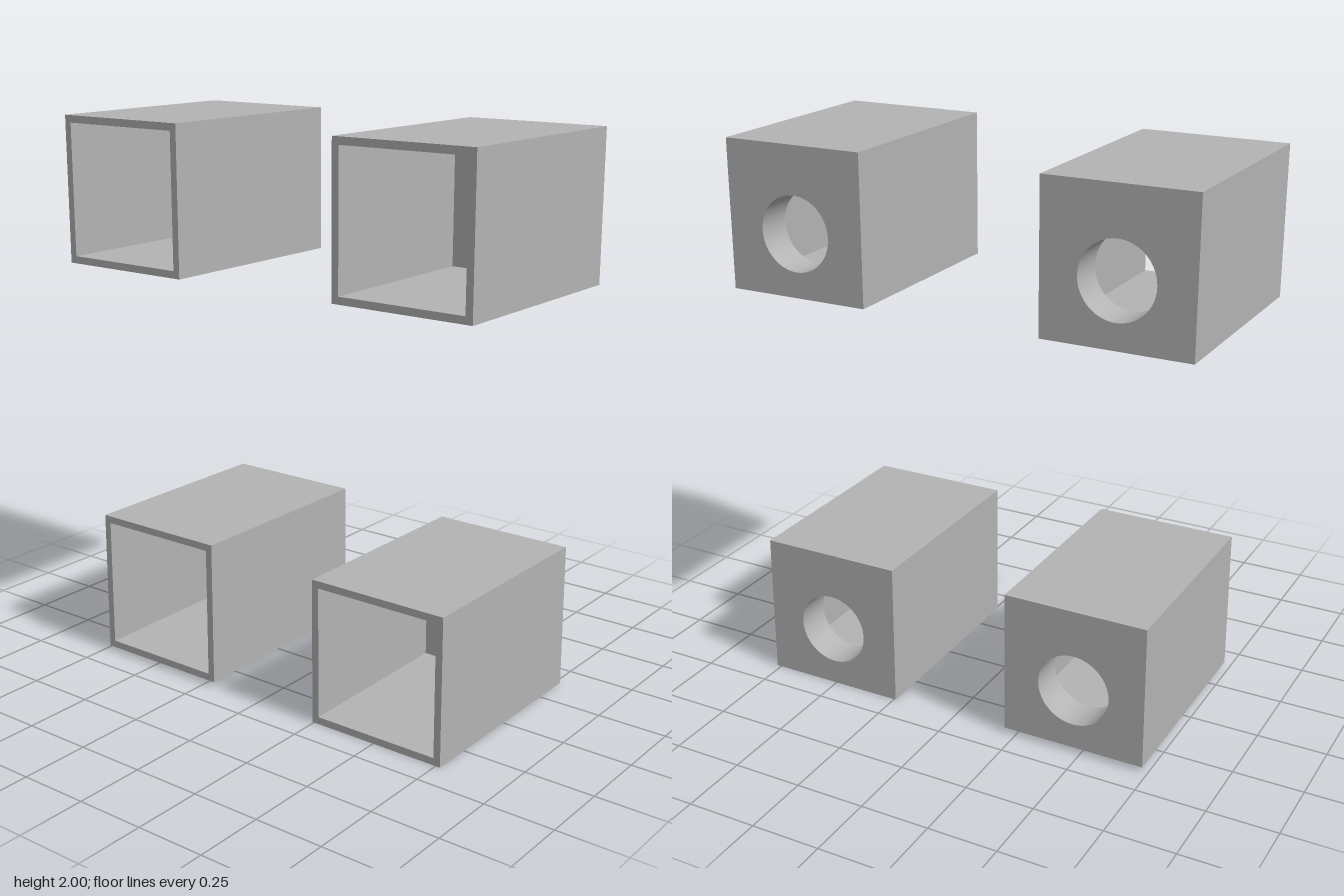
import * as THREE from 'three';

const SIZE = 0.524, DEPTH = 0.786, WALL = 0.026, BACK = 0.131;
const HOLE_R = 0.132, HOLE_DROP = -0.039;

// Square outline centred on the origin
function square(side, Type) {
  const h = side / 2;
  return new Type([[-h, -h], [h, -h], [h, h], [-h, h]].map(([x, y]) => new THREE.Vector2(x, y)));
}

function extrude(shape, depth, z) {
  const geometry = new THREE.ExtrudeGeometry(shape, { depth, bevelEnabled: false, curveSegments: 48 });
  return geometry.translate(0, 0, z);
}

export function createModel() {
  const model = new THREE.Group();
  model.name = 'sleeveSet';
  const grey = new THREE.MeshStandardMaterial({ color: 0xb3b3b3 });
  grey.name = 'grey';

  // Thin square tube, open at the front
  const tubeShape = square(SIZE, THREE.Shape);
  tubeShape.holes.push(square(SIZE - 2 * WALL, THREE.Path));
  const tubeGeometry = extrude(tubeShape, DEPTH - BACK, -DEPTH / 2 + BACK);

  // Thick back plate with a round hole set a little below centre
  const backShape = square(SIZE, THREE.Shape);
  backShape.holes.push(new THREE.Path().absarc(0, HOLE_DROP, HOLE_R, 0, Math.PI * 2, true));
  const backGeometry = extrude(backShape, BACK, -DEPTH / 2);

  // Centre of each sleeve
  const sleeves = [
    ['upperRightSleeve', -0.588, 1.738],
    ['upperLeftSleeve', 0.586, 1.738],
    ['lowerRightSleeve', -0.468, 0.28],
    ['lowerLeftSleeve', 0.505, 0.263],
  ];
  for (const [name, x, y] of sleeves) {
    const sleeve = new THREE.Group();
    sleeve.name = name;
    sleeve.position.set(x, y, 0);
    const tube = new THREE.Mesh(tubeGeometry, grey);
    tube.name = 'squareTube';
    const back = new THREE.Mesh(backGeometry, grey);
    back.name = 'backPlate';
    sleeve.add(tube, back);
    model.add(sleeve);
  }
  return model;
}
